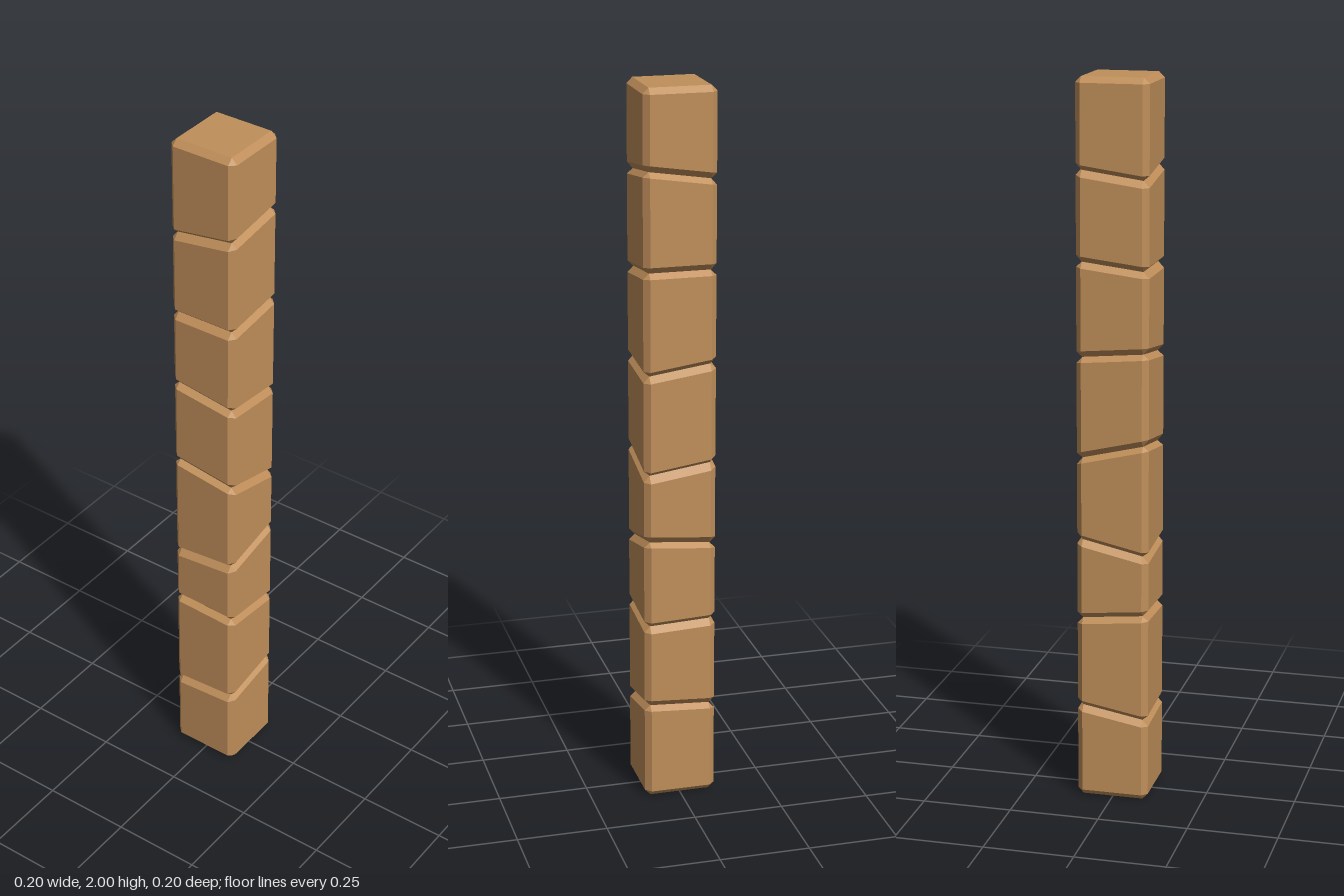
import * as THREE from 'three';
import { ConvexGeometry } from 'three/addons/geometries/ConvexGeometry.js';

const HALF = 0.1;    // half width of the post
const BEVEL = 0.016; // chamfer on every edge

// Cut planes between blocks: y = c + a * x + b * z, as [c, a, b]
const CUTS = [
  [0, 0, 0],
  [0.255, 0.06, -0.18],
  [0.525, -0.045, 0.1],
  [0.734, 0.09, -0.22],
  [0.984, -0.145, 0.24],
  [1.25, -0.14, 0.09],
  [1.502, 0, -0.12],
  [1.757, 0.15, -0.14],
  [2, 0, 0],
];

// Corner points of one end of a block: an inset square on the cut plane
// and a chamfered octagon one bevel further into the block
function endPoints([c, a, b], inward) {
  const points = [];
  const inset = HALF - BEVEL;
  const add = (x, z, lift) => points.push(new THREE.Vector3(x, c + a * x + b * z + lift, z));
  for (const sx of [-1, 1]) {
    for (const sz of [-1, 1]) {
      add(sx * inset, sz * inset, 0);
      add(sx * HALF, sz * inset, inward * BEVEL);
      add(sx * inset, sz * HALF, inward * BEVEL);
    }
  }
  return points;
}

export function createModel() {
  const group = new THREE.Group();
  group.name = 'segmentedPost';
  const wood = new THREE.MeshStandardMaterial({ color: 0xc08f5a });
  wood.name = 'wood';

  // Stack of chamfered blocks with slanted joints
  for (let i = 0; i < CUTS.length - 1; i++) {
    const points = [...endPoints(CUTS[i], 1), ...endPoints(CUTS[i + 1], -1)];
    const block = new THREE.Mesh(new ConvexGeometry(points), wood);
    block.name = `block${i + 1}`;
    group.add(block);
  }
  return group;
}
